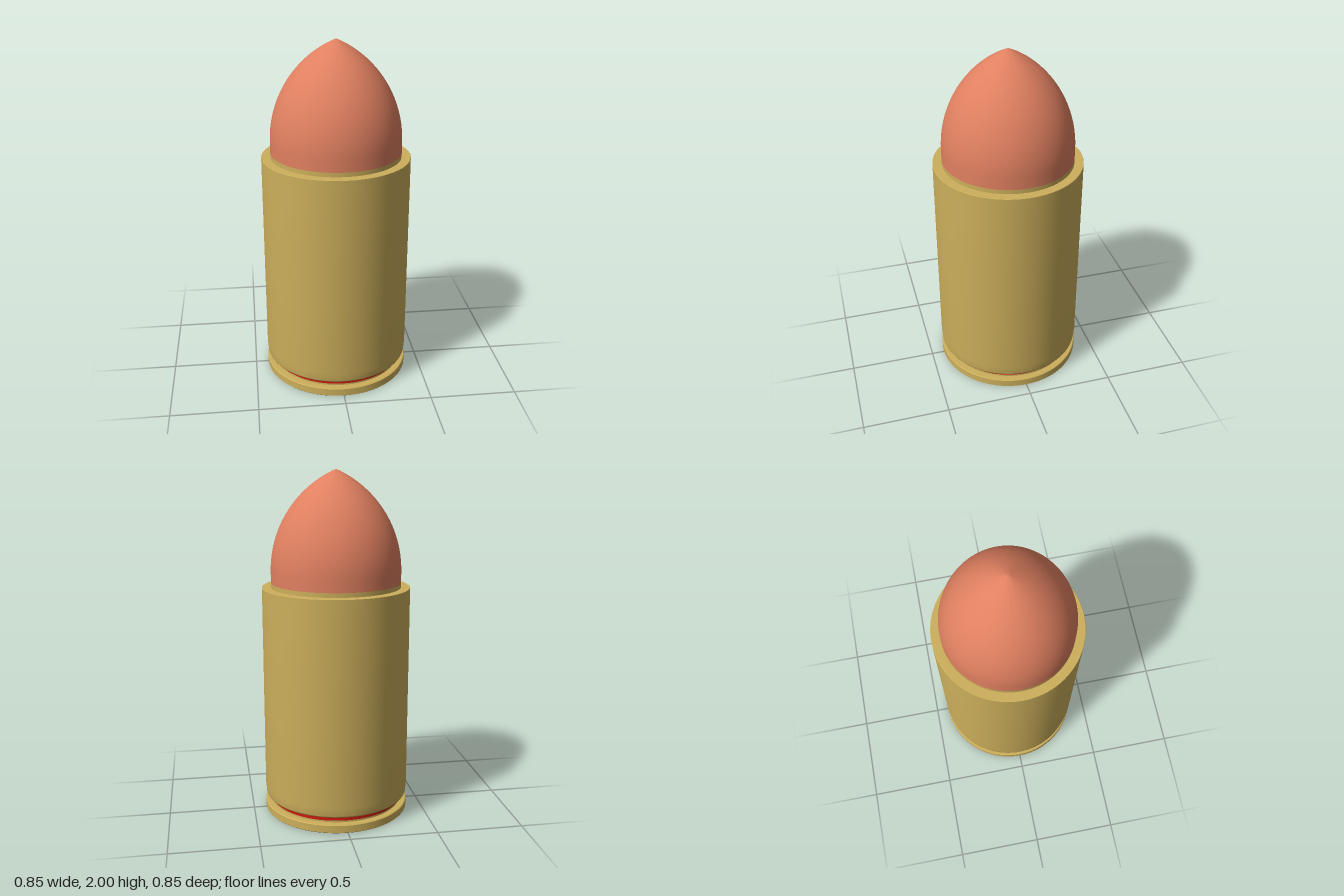
import * as THREE from 'three';
import { toCreasedNormals } from 'three/addons/utils/BufferGeometryUtils.js';

const SEGMENTS = 96;
const brass = new THREE.MeshStandardMaterial({ color: 0xcdb05c });
const copper = new THREE.MeshStandardMaterial({ color: 0xe08060 });
const red = new THREE.MeshStandardMaterial({ color: 0xcc1a0c });

// Turned part: profile of [radius, height] pairs, from bottom to top
function turned(name, profile, material) {
  const points = profile.map(([r, y]) => new THREE.Vector2(r, y));
  const geometry = toCreasedNormals(new THREE.LatheGeometry(points, SEGMENTS), 0.75);
  const mesh = new THREE.Mesh(geometry, material);
  mesh.name = name;
  return mesh;
}

export function createModel() {
  const group = new THREE.Group();
  group.name = 'cartridge';

  // Flat rim disc at the base
  group.add(turned('rim', [
    [0, 0], [0.421, 0], [0.425, 0.004], [0.425, 0.046], [0.421, 0.05], [0.386, 0.05], [0.386, 0.06],
  ], brass));

  // Red band in the extractor groove
  group.add(turned('grooveBand', [[0.386, 0.06], [0.386, 0.085]], red));

  // Case with a rounded lower edge, a flat mouth and a short collar round the bullet
  const casing = [[0.386, 0.085], [0.386, 0.09], [0.408, 0.09]];
  for (let i = 0; i <= 6; i++) {
    const a = (i / 6) * Math.PI / 2;
    casing.push([0.408 + 0.013 * Math.sin(a), 0.105 - 0.015 * Math.cos(a)]);
  }
  casing.push([0.425, 0.15], [0.425, 1.338], [0.423, 1.34], [0.373, 1.34], [0.373, 1.365]);
  group.add(turned('casing', casing, brass));

  // Bullet: short straight shank, then a circular ogive up to the point
  const radius = 0.373, shoulder = 1.43, height = 2 - shoulder;
  const arc = (height * height + radius * radius) / (2 * radius);
  const end = Math.asin(height / arc);
  const bullet = [[radius, 1.365]];
  for (let i = 0; i <= 32; i++) {
    const a = (i / 32) * end;
    bullet.push([Math.max(0, radius - arc * (1 - Math.cos(a))), shoulder + arc * Math.sin(a)]);
  }
  group.add(turned('bullet', bullet, copper));

  return group;
}
